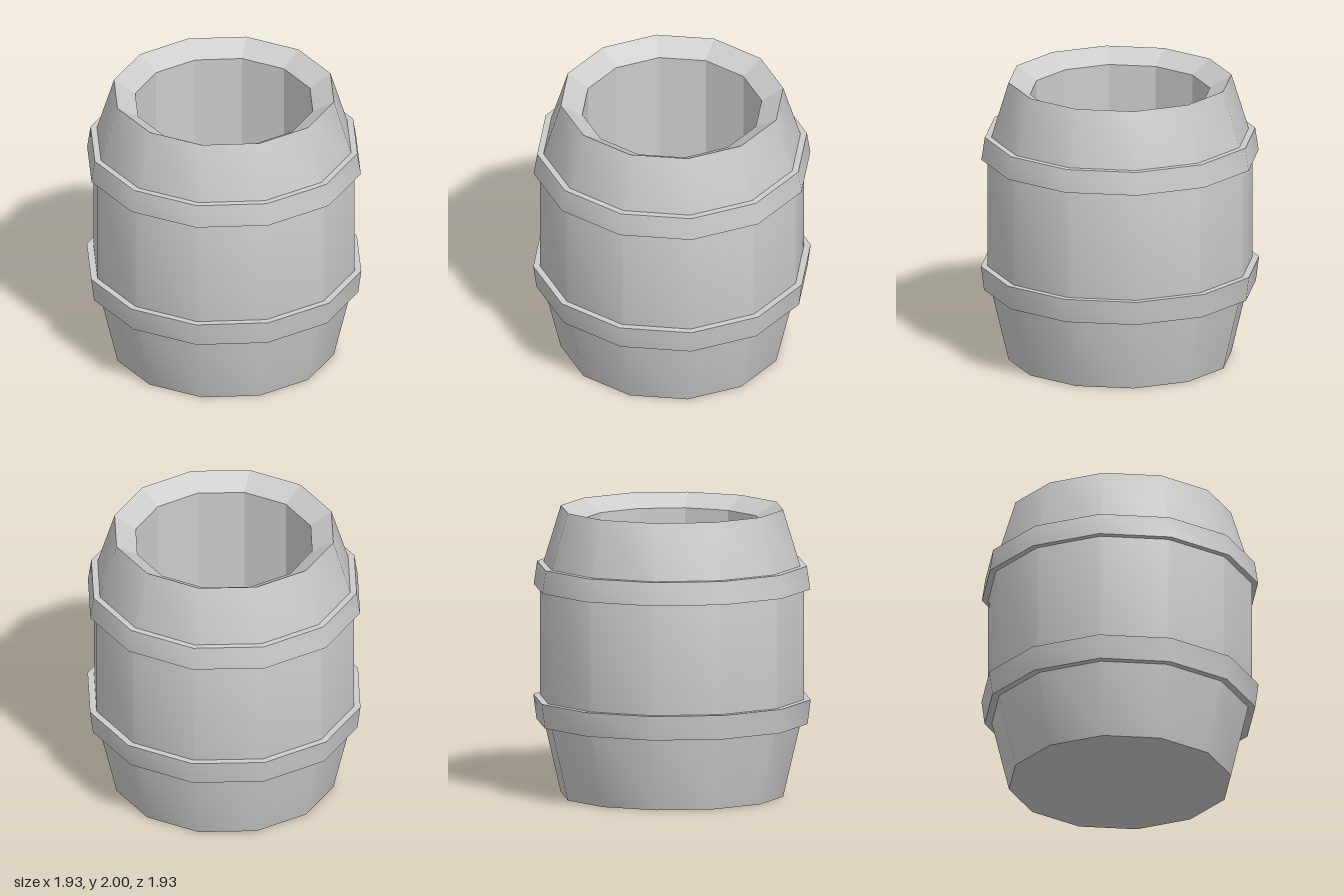
import * as THREE from 'three';
import { toCreasedNormals } from 'three/addons/utils/BufferGeometryUtils.js';

const SIDES = 12;
const CREASE = THREE.MathUtils.degToRad(31);

// Twelve-sided turned part from [radius, height] pairs
function turned(name, profile, flat = false) {
  const points = profile.map(([r, y]) => new THREE.Vector2(r, y));
  const lathe = new THREE.LatheGeometry(points, SIDES);
  const geometry = toCreasedNormals(lathe, flat ? 0.01 : CREASE);
  const material = new THREE.MeshStandardMaterial({ color: 0xcccccc, flatShading: flat });
  const mesh = new THREE.Mesh(geometry, material);
  mesh.name = name;
  return mesh;
}

export function createModel() {
  const barrel = new THREE.Group();
  barrel.name = 'barrel';

  // Outer wall with closed base and tapered ends
  barrel.add(turned('outerWall', [
    [0, 0], [0.775, 0], [0.92, 0.615], [0.92, 1.53], [0.775, 2],
  ]));

  // Sloped rim, straight inner wall and floor
  barrel.add(turned('rimAndInside', [
    [0.775, 2], [0.625, 1.91], [0.625, 0.09], [0, 0.09],
  ], true));

  // Hoops, each flaring towards the middle of the barrel
  barrel.add(turned('lowerHoop', [
    [0.86, 0.51], [0.945, 0.51], [0.967, 0.68], [0.86, 0.68],
  ]));
  barrel.add(turned('upperHoop', [
    [0.86, 1.45], [0.964, 1.45], [0.94, 1.61], [0.86, 1.61],
  ]));

  return barrel;
}
